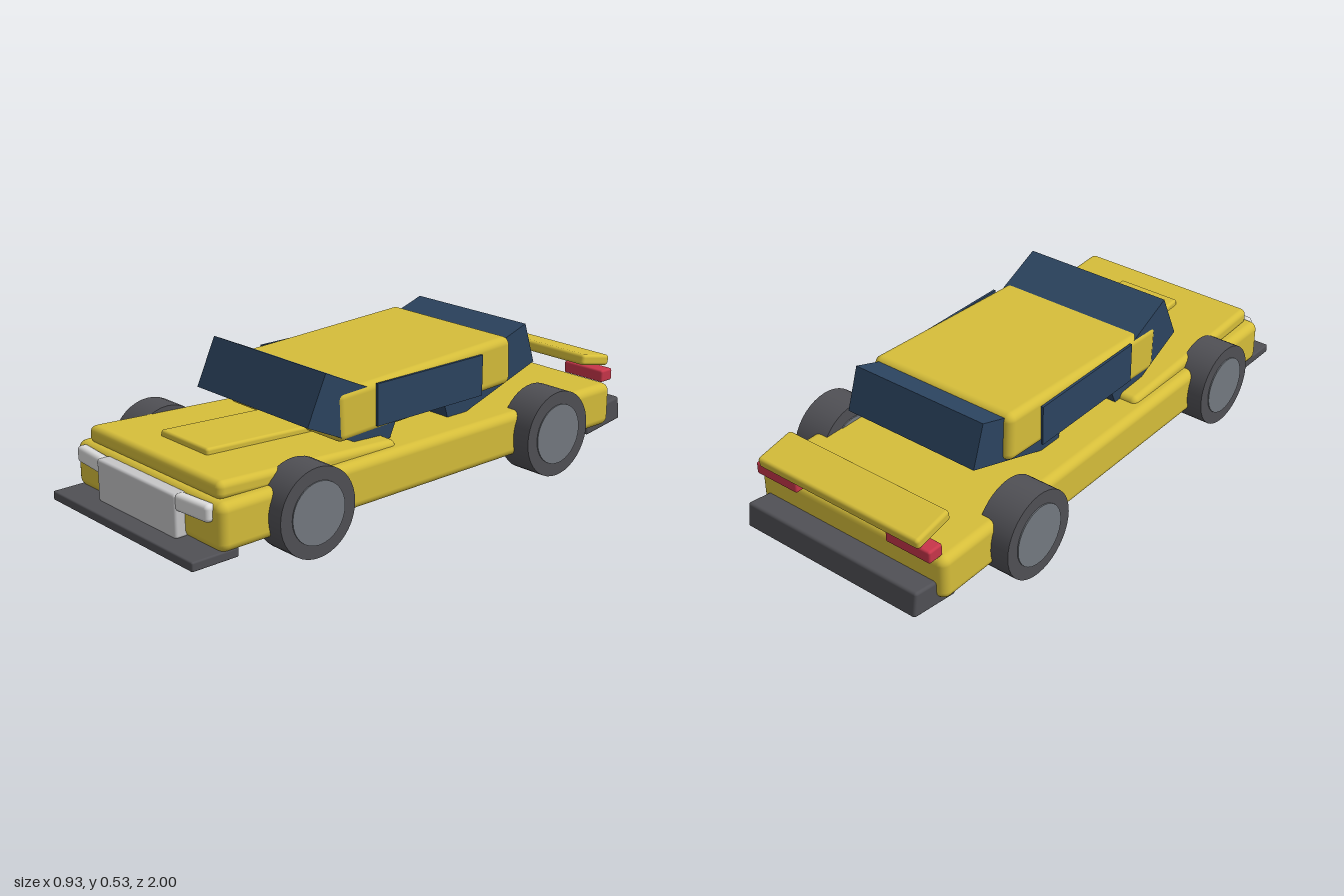
import * as THREE from 'three';
import { RoundedBoxGeometry } from 'three/addons/geometries/RoundedBoxGeometry.js';

const mat = (name, color) => {
  const m = new THREE.MeshStandardMaterial({ color });
  m.name = name;
  return m;
};

export function createModel() {
  const paint = mat('yellow paint', 0xd6be3a);
  const glass = mat('navy glass', 0x2c4460);
  const rubber = mat('dark rubber', 0x505055);
  const hubMetal = mat('hub metal', 0x747980);
  const silver = mat('silver grille', 0xc6c6c8);
  const lamp = mat('lamp white', 0xdcdcdc);
  const red = mat('tail red', 0xc8364a);

  const car = new THREE.Group();
  car.name = 'car';

  // Box with optional rounded edges; size and position are [x, y, z], tilt turns about x
  const box = (name, material, size, pos, tilt = 0, radius = 0) => {
    const geo = radius ? new RoundedBoxGeometry(...size, 3, radius) : new THREE.BoxGeometry(...size);
    const mesh = new THREE.Mesh(geo, material);
    mesh.name = name;
    mesh.position.set(...pos);
    mesh.rotation.x = tilt;
    car.add(mesh);
    return mesh;
  };

  // Bodywork
  box('body', paint, [0.79, 0.16, 1.795], [0, 0.17, 0], 0, 0.03);
  box('hood', paint, [0.71, 0.06, 0.725], [0, 0.256, 0.51], -0.05, 0.022);
  box('hoodScoop', paint, [0.25, 0.03, 0.46], [0, 0.292, 0.515], -0.05, 0.01);
  box('cabin', paint, [0.59, 0.175, 0.81], [0, 0.385, -0.055], 0.045, 0.028);
  box('spoiler', paint, [0.68, 0.04, 0.152], [0, 0.329, -0.872], -0.2, 0.012);

  // Slanted glass blocks running into the cabin
  box('windscreen', glass, [0.58, 0.182, 0.37], [0, 0.37, 0.268], -0.435);
  box('rearWindow', glass, [0.536, 0.157, 0.447], [0, 0.367, -0.368], 0.32);

  // Bumpers and grille
  box('frontBumper', rubber, [0.77, 0.032, 0.175], [0, 0.081, 0.9125], 0, 0.006);
  box('rearBumper', rubber, [0.725, 0.09, 0.19], [0, 0.113, -0.899], 0.14, 0.01);
  box('grille', silver, [0.426, 0.146, 0.05], [0, 0.168, 0.91], 0, 0.01);

  // Paired parts
  for (const side of [1, -1]) {
    const label = side > 0 ? 'left' : 'right';
    box(label + 'SideWindow', glass, [0.009, 0.146, 0.49], [side * 0.3, 0.382, -0.057]);
    const light = box(label + 'Headlight', lamp, [0.155, 0.058, 0.04], [side * 0.278, 0.215, 0.906], 0, 0.015);
    light.rotation.y = side * 0.08;
    box(label + 'TailLight', red, [0.18, 0.045, 0.06], [side * 0.28, 0.272, -0.9], 0, 0.008);

    // Wheels: front pair slightly smaller and narrower
    for (const [end, z, radius, outer] of [['Front', 0.57, 0.15, 0.455], ['Rear', -0.525, 0.155, 0.465]]) {
      const wheel = new THREE.Group();
      wheel.name = label + end + 'Wheel';
      const width = outer - 0.337;
      const tire = new THREE.Mesh(new THREE.CylinderGeometry(radius, radius, width, 40), rubber);
      tire.name = 'tire';
      const hub = new THREE.Mesh(new THREE.CylinderGeometry(radius * 0.7, radius * 0.7, width + 0.008, 32), hubMetal);
      hub.name = 'hub';
      wheel.add(tire, hub);
      wheel.rotation.z = Math.PI / 2;
      wheel.position.set(side * (0.335 + width / 2), 0.157, z);
      car.add(wheel);
    }
  }
  return car;
}
